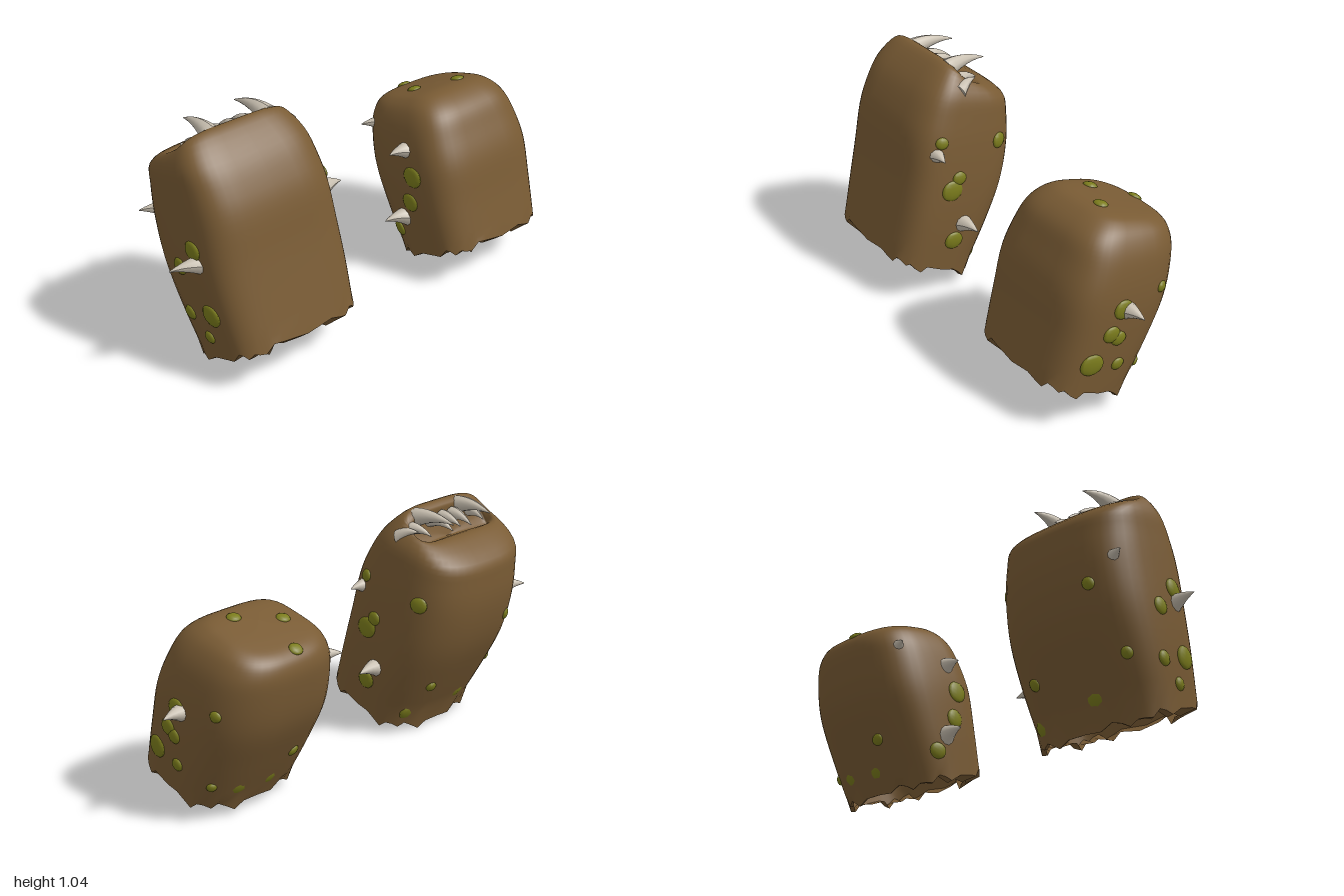
import * as THREE from 'three';

const SEG = 44, ROWS = 36;
const mat = (name, color) => Object.assign(new THREE.MeshStandardMaterial({ color }), { name });
const vec = (x, y, z) => new THREE.Vector3(x, y, z);

// Signed power, squares off a circle into a rounded box section
const pw = (v, e) => Math.sign(v) * Math.abs(v) ** e;

// Leaning lower body shared by both lumps: frontZ, frontY, backZ, backY, width factor
const LOWER = [
  [0.335, 0.205, -0.085, 0.045, 0.95],
  [0.285, 0.4, -0.2, 0.25, 1],
  [0.245, 0.57, -0.29, 0.43, 1.01],
];
const LARGE_TOP = [
  [0.21, 0.74, -0.335, 0.6, 0.99],
  [0.165, 0.85, -0.342, 0.74, 0.96],
  [0.1, 0.95, -0.325, 0.83, 0.92],
  [0, 1.037, -0.21, 0.915, 0.79],
  [-0.05, 1.025, -0.15, 0.915, 0.75],
  [-0.055, 0.98, -0.13, 0.895, 0.7],
  [-0.085, 0.89, -0.085, 0.89, 0],
];
const SMALL_TOP = [
  [0.19, 0.69, -0.328, 0.6, 0.95],
  [0.14, 0.775, -0.328, 0.685, 0.85],
  [0.07, 0.822, -0.295, 0.735, 0.71],
  [0, 0.835, -0.22, 0.77, 0.5],
  [-0.1, 0.812, -0.1, 0.812, 0],
];

// Tilted rounded-box rings, smoothed between the sections
function makeRings(sections, { width, centreAt, dip, drop, frontPower }) {
  const curve = (f) => new THREE.CatmullRomCurve3(sections.map(f), false, 'catmullrom', 0.5);
  const front = curve((s) => vec(s[4], s[1], s[0]));
  const back = curve((s) => vec(s[4], s[3], s[2]));
  const rings = [];
  for (let i = 0; i <= ROWS; i++) {
    const t = i / ROWS, f = front.getPoint(t), b = back.getPoint(t);
    const half = Math.max(0, f.x) * width;
    const sag = dip * THREE.MathUtils.smoothstep(t, 0.55, 0.8) * (1 - THREE.MathUtils.smoothstep(t, 0.85, 1));
    const ring = [];
    for (let j = 0; j < SEG; j++) {
      const a = (j / SEG) * Math.PI * 2, v = Math.sin(a), e = v > 0 ? frontPower : 0.7;
      const side = pw(v, e);
      const p = b.clone().lerp(f, (side + 1) / 2);
      p.x = centreAt(t) + half * pw(Math.cos(a), e);
      p.y -= sag * (1 - side * side);
      // Torn lower edge
      if (i === 0) p.y += 0.014 * Math.sin(j * 2.1) + 0.009 * Math.sin(j * 5.3 + 1) - drop * (1 - side) / 2;
      ring.push(p);
    }
    rings.push(ring);
  }
  return rings;
}

// Skin over a stack of rings
function skinGeometry(rings) {
  const index = [];
  for (let i = 0; i < rings.length - 1; i++) {
    for (let j = 0; j < SEG; j++) {
      const a = i * SEG + j, b = i * SEG + ((j + 1) % SEG);
      index.push(a, a + SEG, b, b, a + SEG, b + SEG);
    }
  }
  const g = new THREE.BufferGeometry().setFromPoints(rings.flat());
  g.setIndex(index);
  g.computeVertexNormals();
  return g;
}

// Ragged lip folded inwards under the front of the hollow bottom
function rimRing(ring) {
  const centre = vec(0, 0, 0);
  ring.forEach((p) => centre.addScaledVector(p, 1 / SEG));
  return ring.map((p, j) => {
    const forward = THREE.MathUtils.clamp((p.z + 0.08) / 0.4, 0, 1);
    const q = p.clone().lerp(centre, 0.03 + 0.2 * forward);
    q.y -= forward * (0.02 + 0.012 * Math.sin(j * 3.7));
    return q;
  });
}

// Pointed horn from base to tip, bowed upwards in the middle
function horn(name, base, tip, radius, bend, material) {
  const len = base.distanceTo(tip), dir = tip.clone().sub(base).normalize();
  const g = new THREE.CylinderGeometry(0.002, radius, len, 10, 6);
  g.translate(0, len / 2, 0);
  const pos = g.attributes.position;
  const bow = Array.from({ length: pos.count }, (_, i) => {
    const t = pos.getY(i) / len;
    return bend * 4 * t * (1 - t);
  });
  g.applyQuaternion(new THREE.Quaternion().setFromUnitVectors(vec(0, 1, 0), dir));
  bow.forEach((h, i) => pos.setY(i, pos.getY(i) + h));
  g.computeVertexNormals();
  const m = new THREE.Mesh(g, material);
  m.name = name;
  m.position.copy(base);
  return m;
}

// Flattened wart laid on the body where a ray meets it
function addWart(group, body, from, dir, radius, material, sink = 0) {
  const hit = new THREE.Raycaster(from, dir).intersectObject(body)[0];
  if (!hit) return;
  const m = new THREE.Mesh(new THREE.SphereGeometry(radius, 9, 8), material);
  m.name = 'wart';
  m.position.copy(hit.point).addScaledVector(hit.face.normal, -sink);
  m.quaternion.setFromUnitVectors(vec(0, 0, 1), hit.face.normal);
  m.scale.set(1, 0.9, 0.013 / radius);
  group.add(m);
}

export function createModel() {
  const hide = mat('brown hide', 0x795b34);
  hide.side = THREE.DoubleSide;
  const moss = mat('moss green', 0x7b7c1c);
  const bone = mat('bone', 0xc8bfb0);
  const model = new THREE.Group();

  function addLump(name, rings) {
    const group = new THREE.Group();
    group.name = name;
    const body = new THREE.Mesh(skinGeometry(rings), hide);
    body.name = 'body';
    const rim = new THREE.Mesh(skinGeometry([rimRing(rings[0]), rings[0]]), hide);
    rim.name = 'tornRim';
    group.add(body, rim);
    model.add(group);
    return {
      // Each thorn: tip x, y, z, then how far its root lies inwards in x and z
      thorns(list) {
        for (const [x, y, z, dx, dz] of list)
          group.add(horn('thorn', vec(x + dx, y - 0.01, z + dz), vec(x, y, z), 0.048, 0.009, bone));
      },
      // Warts on one flank as [y, z], largest first
      flankWarts(side, list) {
        list.forEach(([y, z], i) =>
          addWart(group, body, vec(2 * side, y, z), vec(-side, 0, 0), 0.053 * 0.87 ** i, moss));
      },
      backWarts(list) {
        for (const [x, y] of list) addWart(group, body, vec(x, y, -2), vec(0, 0, 1), 0.028, moss);
      },
      topWarts(list) {
        for (const [x, z] of list) addWart(group, body, vec(x, 2, z), vec(0, -1, 0), 0.032, moss);
      },
      // Moss on the inner face of the back, seen through the open bottom
      innerWarts(list) {
        for (const [x, y] of list) addWart(group, body, vec(x, y, 2), vec(0, 0, -1), 0.045, moss, 0.01);
      },
    };
  }

  // Large lump, drifting slightly sideways as it rises
  const large = addLump('largeLump', makeRings([...LOWER, ...LARGE_TOP], {
    width: 0.33, centreAt: (t) => -0.545 - 0.048 * Math.min(1, t * 1.6), dip: 0.05, drop: 0.025, frontPower: 0.47,
  }));
  large.thorns([
    [-1, 0.545, 0.05, 0.15, 0.04],
    [-0.9, 0.635, -0.29, 0.12, 0.07],
    [-0.19, 0.685, 0.13, -0.11, -0.01],
    [-0.12, 0.335, 0.01, -0.13, 0.01],
  ]);
  large.flankWarts(-1, [[0.33, 0.14], [0.6, 0.06], [0.49, -0.03], [0.28, 0], [0.21, 0.11], [0.27, -0.15]]);
  large.flankWarts(1, [[0.51, 0.07], [0.26, 0.07], [0.67, -0.2], [0.56, 0.03], [0.74, 0.1]]);
  large.backWarts([[-0.75, 0.53], [-0.38, 0.25]]);
  large.innerWarts([[-0.63, 0.13], [-0.34, 0.1]]);

  // Small lump, with a closed dome
  const small = addLump('smallLump', makeRings([...LOWER, ...SMALL_TOP], {
    width: 0.312, centreAt: (t) => 0.6 - 0.015 * t, dip: 0, drop: 0, frontPower: 0.53,
  }));
  small.thorns([
    [0.21, 0.61, 0, 0.11, 0.01],
    [0.19, 0.285, 0, 0.12, 0.02],
    [0.29, 0.635, -0.27, 0.11, 0.06],
    [1, 0.49, 0, -0.12, 0.01],
  ]);
  small.flankWarts(1, [[0.29, 0.17], [0.5, 0.03], [0.405, 0.085], [0.375, 0.05], [0.25, 0.045], [0.52, -0.175], [0.175, -0.09]]);
  small.flankWarts(-1, [[0.5, 0.07], [0.37, 0.06], [0.2, -0.02]]);
  small.topWarts([[0.57, -0.29], [0.48, -0.13], [0.66, -0.04]]);
  small.backWarts([[0.5, 0.25]]);
  small.innerWarts([[0.57, 0.13], [0.74, 0.14]]);

  // Mirrored teeth behind the upper lip: offset from the middle, root z, y, tip z, y, radius
  const teeth = new THREE.Group();
  teeth.name = 'teeth';
  for (const [off, z0, y0, z1, y1, r] of [
    [0.14, -0.03, 0.995, -0.238, 1, 0.045],
    [0.25, -0.03, 0.93, -0.125, 0.965, 0.034],
    [0.2, -0.05, 0.96, -0.16, 0.945, 0.034],
    [0.07, -0.06, 0.975, -0.185, 0.95, 0.036],
    [0, -0.06, 0.975, -0.175, 0.955, 0.036],
  ]) {
    for (const side of off ? [-1, 1] : [1]) {
      const x = -0.565 + side * off;
      teeth.add(horn('tooth', vec(x, y0, z0), vec(x - side * off * 0.1, y1, z1), r, r * 0.4, bone));
    }
  }
  model.add(teeth);
  return model;
}
